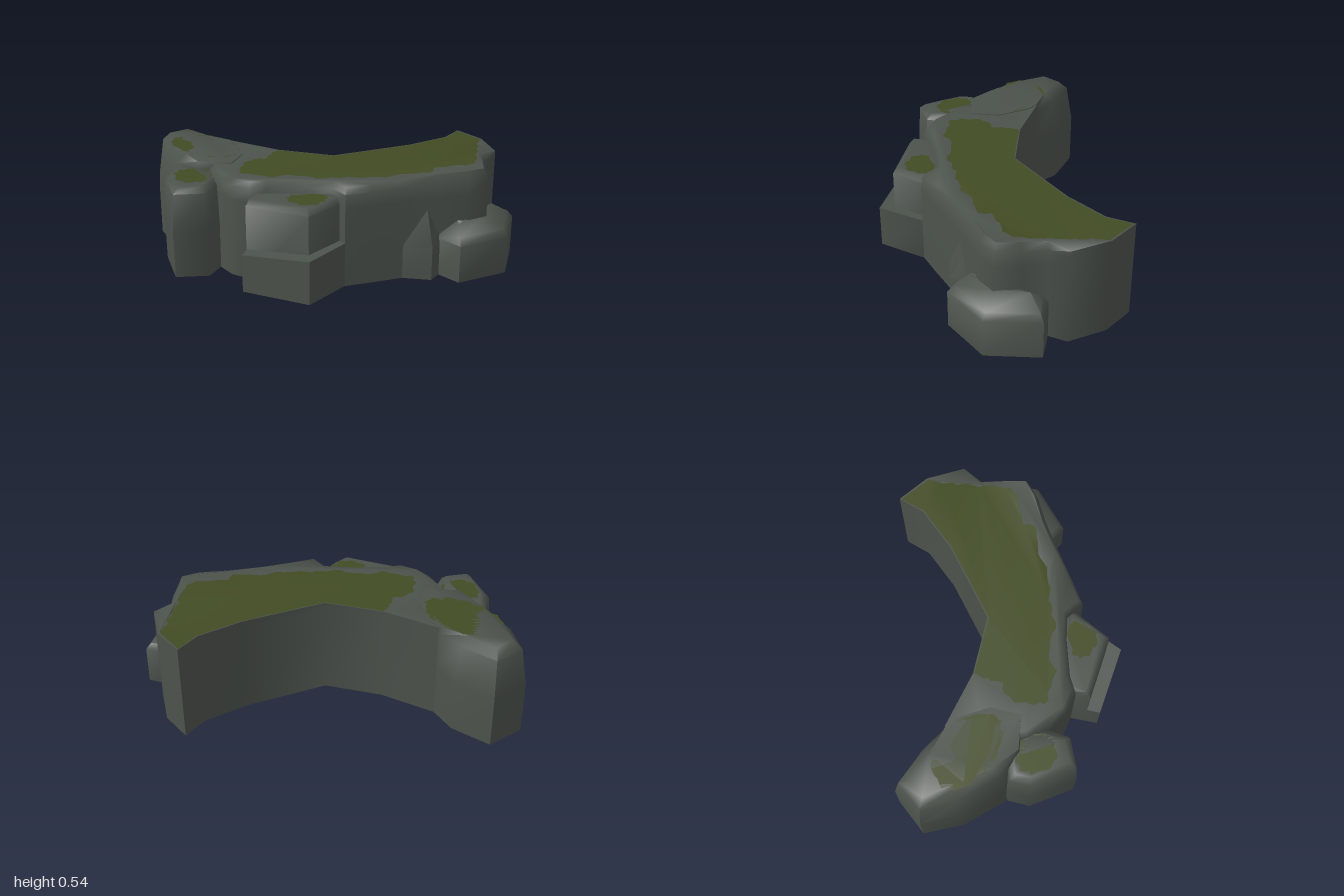
import * as THREE from 'three';
import { toCreasedNormals } from 'three/addons/utils/BufferGeometryUtils.js';

const stone = new THREE.MeshStandardMaterial({ color: 0x4c524c, side: THREE.DoubleSide });
stone.name = 'stone grey';
const moss = new THREE.MeshStandardMaterial({ color: 0x414b23, side: THREE.DoubleSide });
moss.name = 'moss green';

// Move an outline inwards; d is a distance or a function of the point index
function inset(pts, d) {
  const n = pts.length;
  return pts.map((p, i) => {
    const a = pts[(i + n - 1) % n], b = pts[(i + 1) % n];
    const dx = b[0] - a[0], dz = b[1] - a[1], l = Math.hypot(dx, dz);
    const k = (typeof d === 'function' ? d(i) : d) / l;
    return [p[0] + dz * k, p[1] - dx * k];
  });
}

// Smooth patch edge with a slight ragged wobble
function ragged(pts, closed, count) {
  const curve = new THREE.CatmullRomCurve3(pts.map(p => new THREE.Vector3(p[0], 0, p[1])), closed);
  const out = [];
  for (let i = 0; i < count; i++) {
    const v = curve.getPoint(i / (closed ? count : count - 1));
    out.push([v.x + 0.008 * Math.sin(i * 2.1), v.z + 0.008 * Math.cos(i * 1.7)]);
  }
  return out;
}

function toGeometry(tris) {
  const g = new THREE.BufferGeometry();
  g.setAttribute('position', new THREE.Float32BufferAttribute(tris.flat(), 3));
  return toCreasedNormals(g, 1.1);
}

// Flat surface over an outline, optionally with a hole
function surface(outline, hole, lift) {
  const v2 = l => l.map(p => new THREE.Vector2(p[0], -p[1]));
  const all = outline.concat(hole || []);
  const faces = THREE.ShapeUtils.triangulateShape(v2(outline), hole ? [v2(hole)] : []);
  return faces.flat().map(i => [all[i][0], lift(all[i][0], all[i][1]), all[i][1]]);
}

// Boulder: lofted rings with an open underside and a capped top holding a moss patch
function boulder(name, rings, patch, rise = () => 0) {
  const group = new THREE.Group();
  group.name = name;
  const tris = [];
  const levels = rings.map(([y, pts], k) => pts.map(p =>
    [p[0], y + (k === rings.length - 1 ? rise(p[0], p[1]) : 0), p[1]]));
  for (let k = 0; k + 1 < levels.length; k++) {
    const lo = levels[k], hi = levels[k + 1], n = lo.length;
    for (let i = 0; i < n; i++) {
      const j = (i + 1) % n;
      tris.push(lo[i], lo[j], hi[j], lo[i], hi[j], hi[i]);
    }
  }
  const [topY, top] = rings[rings.length - 1];
  const lift = (x, z) => topY + rise(x, z);
  tris.push(...surface(top, patch, lift));
  const body = new THREE.Mesh(toGeometry(tris), stone);
  body.name = name + 'Stone';
  group.add(body);
  if (patch) {
    const m = new THREE.Mesh(toGeometry(surface(patch, null, lift)), moss);
    m.name = name + 'Moss';
    group.add(m);
  }
  return group;
}

export function createModel() {
  const model = new THREE.Group();
  model.name = 'mossyRockWall';
  const clamp = t => Math.min(1, Math.max(0, t));

  // Main crescent: straight back wall, softly bevelled front
  const back = [[0.66, -0.635], [0.6, -0.5], [0.42, -0.33], [0.05, -0.08], [-0.26, -0.11], [-0.55, -0.21]];
  const front = [[-0.6, 0.0], [-0.55, 0.2], [-0.47, 0.31], [-0.39, 0.38], [-0.28, 0.415], [-0.2, 0.38],
    [0, 0.34], [0.12, 0.33], [0.2, 0.4], [0.33, 0.33], [0.47, 0.25], [0.64, 0.16], [0.78, 0.1],
    [0.87, 0.03], [0.86, -0.1], [0.84, -0.22], [0.885, -0.32], [0.8, -0.51]];
  const crescent = [...back, ...front];
  const bevel = d => i => (i < back.length || i > crescent.length - 3 ? 0 : d);
  const crescentMoss = [
    [0.795, -0.5], [0.66, -0.625], [0.606, -0.496], [0.423, -0.325], [0.052, -0.074], [-0.258, -0.104],
    ...ragged([[-0.28, -0.06], [-0.29, 0.03], [-0.37, 0.09], [-0.38, 0.2], [-0.36, 0.27], [-0.28, 0.28],
      [-0.2, 0.3], [-0.1, 0.25], [0.04, 0.27], [0.13, 0.24], [0.22, 0.22], [0.36, 0.19], [0.45, 0.13],
      [0.57, 0.11], [0.61, 0.03], [0.74, -0.01], [0.79, -0.06], [0.79, -0.22], [0.79, -0.35], [0.785, -0.44]],
    false, 70),
  ];
  model.add(boulder('crescent', [
    [0, crescent], [0.42, crescent], [0.49, inset(crescent, bevel(0.006))], [0.52, inset(crescent, bevel(0.03))],
  ], crescentMoss, (x, z) => 0.02 * clamp((x - 0.4) / 0.32) * clamp((z + 0.31) / 0.31)));

  // Rounded boulder ending the crescent on its right
  const end = [[-0.5, -0.17], [-0.55, -0.21], [-0.65, -0.33], [-0.855, -0.43], [-1, -0.28], [-0.93, -0.08],
    [-0.78, 0.12], [-0.62, 0.17], [-0.44, 0.16], [-0.42, 0]];
  const endTop = inset(end, i => (i > 1 && i < 7 ? 0.085 : 0.005));
  model.add(boulder('endBoulder', [
    [0, end], [0.28, end], [0.48, inset(end, i => (i > 1 && i < 7 ? 0.035 : 0))], [0.524, endTop],
  ], ragged([[-0.49, -0.11], [-0.56, -0.19], [-0.67, -0.25], [-0.77, -0.24], [-0.86, -0.16], [-0.84, -0.07],
    [-0.74, 0.02], [-0.64, 0.07], [-0.52, 0.07], [-0.46, 0.03]], true, 44)));

  // Small upright boulder in front of the end
  const post = [[-0.64, 0.1], [-0.77, 0.13], [-0.785, 0.25], [-0.665, 0.47], [-0.5, 0.42], [-0.47, 0.3], [-0.5, 0.17]];
  model.add(boulder('uprightBoulder', [
    [0, post], [0.25, inset(post, -0.003)], [0.45, inset(post, 0.012)], [0.48, inset(post, 0.05)],
  ], ragged([[-0.63, 0.16], [-0.7, 0.18], [-0.72, 0.25], [-0.65, 0.35], [-0.57, 0.34], [-0.52, 0.28], [-0.54, 0.2]],
    true, 30)));

  // Stepped pair of boulders at the front centre
  const step = [[0.1, 0.2], [-0.2, 0.2], [-0.27, 0.38], [-0.285, 0.56], [0.07, 0.635], [0.2, 0.4]];
  model.add(boulder('lowerStep', [[0, step], [0.2, step]], null,
    (x, z) => 0.035 * clamp((x + 0.28) / 0.42)));
  const upper = [[0.12, 0.2], [-0.2, 0.2], [-0.27, 0.36], [-0.28, 0.49], [0.05, 0.555], [0.18, 0.35]];
  model.add(boulder('upperStep', [
    [0, upper], [0.43, upper], [0.462, inset(upper, 0.03)],
  ], ragged([[0.1, 0.35], [-0.06, 0.37], [-0.09, 0.42], [-0.03, 0.48], [0.05, 0.485], [0.1, 0.42]], true, 26)));

  // Low rounded boulder at the left end
  const low = [[0.83, -0.23], [0.7, -0.1], [0.63, 0.16], [0.76, 0.25], [0.985, 0.08], [1, -0.2]];
  model.add(boulder('lowBoulder', [
    [0, low], [0.2, low], [0.235, inset(low, 0.03)], [0.29, inset(low, 0.13)],
  ]));

  // Sloping foot beside the low boulder
  const foot = [[0.6, 0.05], [0.42, 0.12], [0.46, 0.25], [0.62, 0.245], [0.68, 0.1]];
  model.add(boulder('wallFoot', [[0, foot], [0.18, foot], [0.4, inset(foot, 0.08)]]));

  return model;
}
